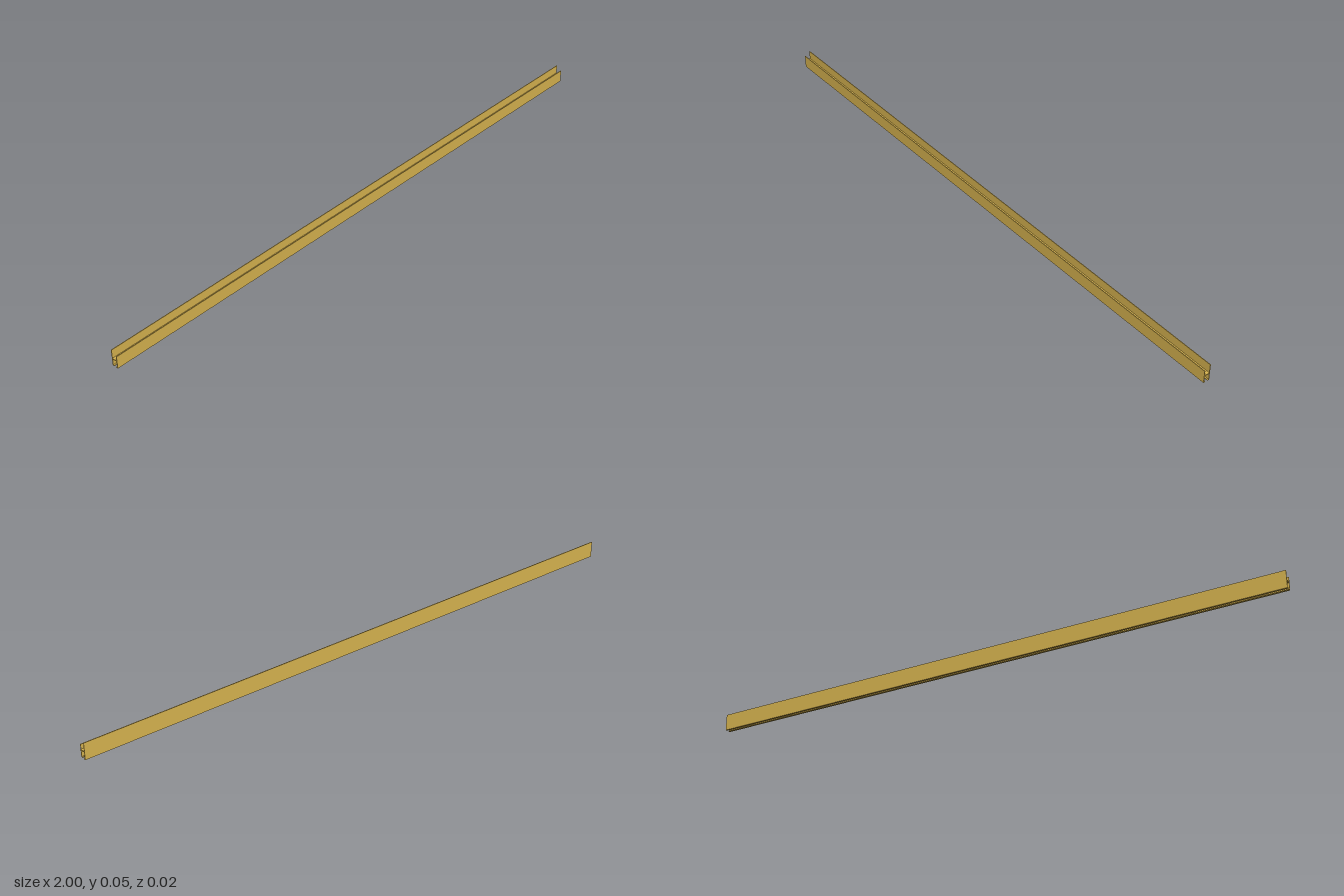
import * as THREE from 'three';

// Channel rail: one H-shaped section with inward bottom lips, swept along x
export function createModel() {
  const group = new THREE.Group();
  group.name = 'channelRail';

  const outer = 0.0105;        // half width
  const inner = 0.0083;        // inside face of the flanges
  const lip = 0.004;           // inner edge of the bottom lips
  const lipTop = 0.0022;
  const webLow = 0.0235, webHigh = 0.026;
  const frontTop = 0.042, backTop = 0.055;

  // Section as (z, y) points, counterclockwise from the front lip
  const section = new THREE.Shape([
    [lip, 0], [outer, 0], [outer, frontTop], [inner, frontTop],
    [inner, webHigh], [-inner, webHigh],
    [-inner, backTop], [-outer, backTop], [-outer, 0], [-lip, 0],
    [-lip, lipTop], [-inner, lipTop], [-inner, webLow],
    [inner, webLow], [inner, lipTop], [lip, lipTop],
  ].map(([z, y]) => new THREE.Vector2(z, y)));

  const geometry = new THREE.ExtrudeGeometry(section, { depth: 2, bevelEnabled: false });
  geometry.rotateY(-Math.PI / 2).translate(1, 0, 0);

  const rail = new THREE.Mesh(geometry, new THREE.MeshStandardMaterial({ color: 0xd9b550 }));
  rail.name = 'railProfile';
  group.add(rail);
  return group;
}
